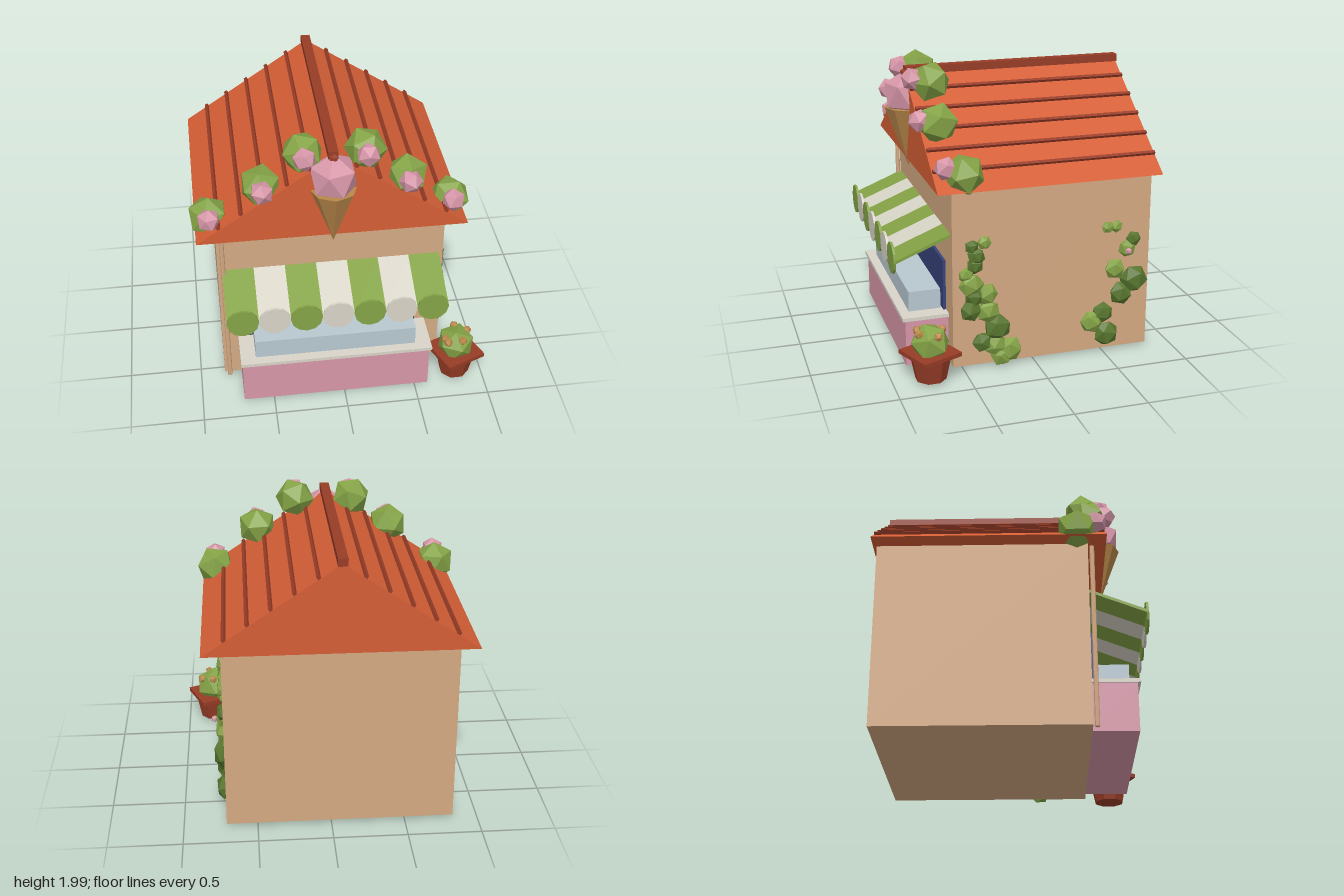
import * as THREE from 'three';

const mat = (name, color) => {
  const m = new THREE.MeshStandardMaterial({ color, flatShading: true });
  m.name = name;
  return m;
};

export function createModel() {
  const model = new THREE.Group();
  model.name = 'iceCreamShop';
  const tan = mat('tan wall', 0xd3a982);
  const orange = mat('roof orange', 0xd45e35);
  const terracotta = mat('dark terracotta', 0x973c26);
  const green = mat('leaf green', 0x84a346);
  const darkGreen = mat('dark leaf green', 0x58762f);
  const pink = mat('pink', 0xd696a8);
  const cream = mat('cream', 0xd8d4c8);
  const navy = mat('navy', 0x36427a);
  const glass = mat('pale blue', 0xb8c8d0);
  const wafer = mat('wafer', 0xb8874a);

  const add = (name, geo, material, x = 0, y = 0, z = 0, parent = model) => {
    const mesh = new THREE.Mesh(geo, material);
    mesh.name = name;
    mesh.position.set(x, y, z);
    parent.add(mesh);
    return mesh;
  };
  // box given by its lower and upper limits
  const box = (name, m, x0, x1, y0, y1, z0, z1) =>
    add(name, new THREE.BoxGeometry(x1 - x0, y1 - y0, z1 - z0), m, (x0 + x1) / 2, (y0 + y1) / 2, (z0 + z1) / 2);
  const ico = (name, m, r, x, y, z, turn = 0) => {
    const mesh = add(name, new THREE.IcosahedronGeometry(r), m, x, y, z);
    mesh.rotation.set(turn * 0.7, turn * 1.3, 0.5 + turn * 0.4);
    return mesh;
  };

  // Walls, window, counter and display case
  box('walls', tan, -0.83, 0.71, 0.03, 1.3, -0.82, 0.57);
  box('window', navy, -0.645, 0.53, 0.36, 0.735, 0.56, 0.59);
  box('counter', pink, -0.71, 0.59, 0.03, 0.355, 0.56, 0.865);
  box('counterTop', cream, -0.72, 0.605, 0.355, 0.38, 0.57, 0.885);
  box('displayCase', glass, -0.615, 0.495, 0.38, 0.52, 0.6, 0.82);
  add('drainPipe', new THREE.CylinderGeometry(0.016, 0.016, 1.265, 8), tan, -0.794, 0.662, 0.597);

  // Gable roof with ridge cap and battens
  const cx = -0.06, apex = 1.9, eave = 1.295, half = 0.897;
  const gable = new THREE.Shape([
    new THREE.Vector2(cx - half, eave), new THREE.Vector2(cx + half, eave), new THREE.Vector2(cx, apex)]);
  add('roof', new THREE.ExtrudeGeometry(gable, { depth: 1.535, bevelEnabled: false }), orange, 0, 0, -0.845);
  box('ridgeCap', terracotta, -0.095, -0.03, 1.885, 1.937, -0.85, 0.69);
  const slope = Math.atan2(apex - eave, half);
  for (const side of [-1, 1]) {
    for (let i = 0; i < 5; i++) {
      const d = 0.145 + 0.15 * i;
      const batten = add('roofBatten', new THREE.BoxGeometry(0.022, 0.03, 1.53), terracotta,
        cx + side * d, apex - d * Math.tan(slope) + 0.006, -0.08);
      batten.rotation.z = -side * slope;
    }
  }

  // Striped awning with round scallops
  for (let i = 0; i < 7; i++) {
    const m = i % 2 ? cream : green;
    const x = -0.8 + 0.2115 * (i + 0.5);
    const stripe = add('awningStripe', new THREE.BoxGeometry(0.2115, 0.02, 0.404), m, x, 0.888, 0.757);
    stripe.rotation.x = 0.38;
    const scallop = add('awningScallop', new THREE.CylinderGeometry(0.106, 0.106, 0.016, 12), m, x, 0.813, 0.943);
    scallop.rotation.x = Math.PI / 2;
  }

  // Ice cream sign on the gable
  add('signCone', new THREE.ConeGeometry(0.157, 0.425, 8).rotateX(Math.PI), wafer, cx, 1.4475, 0.675);
  ico('signScoop', pink, 0.168, cx, 1.745, 0.675).rotation.set(0, 0, 0.55);
  ico('signCherry', terracotta, 0.036, cx, 1.89, 0.685);

  // Bushes with blossoms along the gable
  [[-0.865, 1.385, 0.5], [-0.52, 1.655, 0.585], [-0.245, 1.87, 0.565],
    [0.16, 1.87, 0.565], [0.435, 1.655, 0.585], [0.745, 1.39, 0.495]].forEach(([x, y, z], i) => {
    ico('roofBush', green, 0.141, x, y, z, i * 0.5);
    ico('roofBlossom', pink, 0.08, x, y + (i % 5 ? 0.025 : 0.05), z + 0.12, i * 0.4);
  });

  // Ivy clumps on the side wall: z, y, radius, 1 = dark leaf
  [
    [0.44, 0.885, 0.05, 1], [0.355, 0.905, 0.05, 0], [0.41, 0.815, 0.065, 1], [0.48, 0.69, 0.055, 0],
    [0.42, 0.75, 0.06, 1], [0.445, 0.615, 0.088, 0], [0.42, 0.535, 0.075, 1], [0.34, 0.54, 0.08, 0],
    [0.45, 0.435, 0.08, 1], [0.33, 0.415, 0.085, 0], [0.265, 0.29, 0.1, 1], [0.37, 0.195, 0.075, 1],
    [0.28, 0.165, 0.085, 0], [0.18, 0.12, 0.095, 0], [0.235, 0.085, 0.085, 0],
    [-0.51, 0.92, 0.045, 0], [-0.575, 0.92, 0.045, 0], [-0.7, 0.82, 0.055, 1], [-0.655, 0.755, 0.065, 0],
    [-0.57, 0.615, 0.078, 0], [-0.71, 0.525, 0.105, 1], [-0.62, 0.43, 0.088, 1], [-0.49, 0.3, 0.078, 1],
    [-0.41, 0.24, 0.085, 0], [-0.52, 0.14, 0.095, 1],
  ].forEach(([z, y, r, dark], i) => {
    const clump = new THREE.Group();
    clump.name = 'ivyClump';
    clump.position.set(0.72, y, z);
    clump.scale.x = 0.62;
    model.add(clump);
    add('ivyLeaves', new THREE.IcosahedronGeometry(r), dark ? darkGreen : green, 0, 0, 0, clump)
      .rotation.set(i * 0.7, i * 1.1, 0.3);
  });
  ico('ivyBlossom', pink, 0.024, 0.765, 0.75, -0.65);

  // Potted plant by the corner
  const px = 0.805, pz = 0.75;
  add('potBody', new THREE.CylinderGeometry(0.14, 0.105, 0.17, 8), terracotta, px, 0.115, pz).rotation.y = 0.39;
  add('potRim', new THREE.BoxGeometry(0.297, 0.028, 0.297), terracotta, px, 0.21, pz).rotation.y = 0.39;
  ico('potBush', green, 0.135, px, 0.285, pz, 0.4);
  for (const [x, y, z] of [[-0.08, 0.35, 0.03], [0, 0.37, -0.08], [0.085, 0.355, -0.035], [0.03, 0.365, 0.08], [-0.07, 0.35, 0.07]]) {
    ico('potFlower', wafer, 0.032, px + x, y, pz + z, x * 20);
  }
  return model;
}
